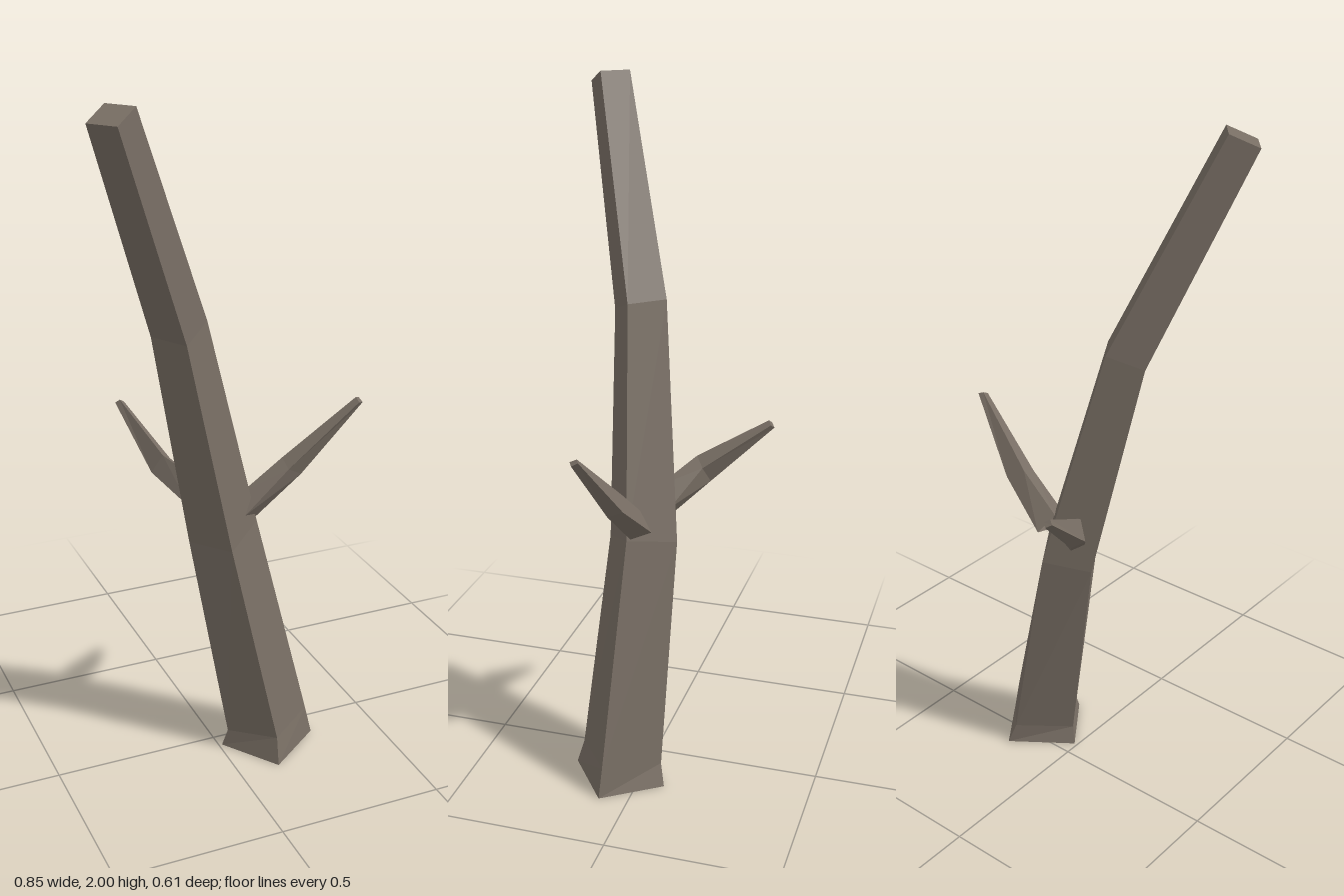
import * as THREE from 'three';

// Skin four-cornered rings into a faceted, tapering limb with a closed tip and open base.
// Corners run clockwise when seen from the tip.
function limb(name, rings, material) {
  const positions = [];
  const quad = (a, b, c, d) => positions.push(...a, ...b, ...c, ...a, ...c, ...d);
  for (let r = 0; r < rings.length - 1; r++) {
    const low = rings[r], high = rings[r + 1];
    for (let i = 0; i < 4; i++) {
      const j = (i + 1) % 4;
      quad(low[j], low[i], high[i], high[j]);
    }
  }
  const [a, b, c, d] = rings[rings.length - 1];
  quad(d, c, b, a);
  const geometry = new THREE.BufferGeometry();
  geometry.setAttribute('position', new THREE.Float32BufferAttribute(positions, 3));
  geometry.computeVertexNormals();
  const mesh = new THREE.Mesh(geometry, material);
  mesh.name = name;
  return mesh;
}

export function createModel() {
  const group = new THREE.Group();
  group.name = 'deadTree';
  const bark = new THREE.MeshStandardMaterial({
    name: 'greyBrownBark', color: 0x786e64, flatShading: true, side: THREE.DoubleSide,
  });

  // Leaning trunk: flared foot, two bends, cut top (corners: back, left, front, right)
  group.add(limb('trunk', [
    [[0.18, 0, -0.08], [0.295, 0, 0.085], [0.125, 0, 0.21], [0.01, 0, 0.045]],
    [[0.16, 0.065, -0.065], [0.275, 0.09, 0.08], [0.13, 0.08, 0.185], [0.025, 0.055, 0.055]],
    [[0.035, 0.73, -0.075], [0.115, 0.75, 0.052], [0, 0.71, 0.138], [-0.08, 0.7, 0.01]],
    [[-0.125, 1.4, 0.005], [-0.06, 1.395, 0.1], [-0.145, 1.355, 0.165], [-0.21, 1.36, 0.07]],
    [[-0.36, 2, 0.185], [-0.305, 2, 0.255], [-0.37, 1.965, 0.305], [-0.425, 1.965, 0.235]],
  ], bark));

  // Side branch (corners: top, back, bottom, front)
  group.add(limb('leftBranch', [
    [[0.07, 0.83, 0.025], [0.1, 0.78, -0.018], [0.115, 0.757, 0.04], [0.065, 0.79, 0.083]],
    [[0.2, 0.93, 0.037], [0.25, 0.9, 0.017], [0.25, 0.88, 0.062], [0.2, 0.91, 0.082]],
    [[0.405, 1.105, 0.09], [0.418, 1.1, 0.083], [0.422, 1.09, 0.1], [0.405, 1.095, 0.11]],
  ], bark));

  // Rear branch (corners: top, right, bottom, left)
  group.add(limb('rearBranch', [
    [[-0.03, 0.87, 0], [-0.07, 0.8, -0.01], [-0.04, 0.78, -0.035], [0, 0.82, -0.045]],
    [[-0.12, 0.94, -0.09], [-0.15, 0.885, -0.105], [-0.12, 0.865, -0.132], [-0.088, 0.915, -0.115]],
    [[-0.178, 1.05, -0.288], [-0.19, 1.04, -0.295], [-0.175, 1.03, -0.305], [-0.163, 1.04, -0.297]],
  ], bark));

  return group;
}
